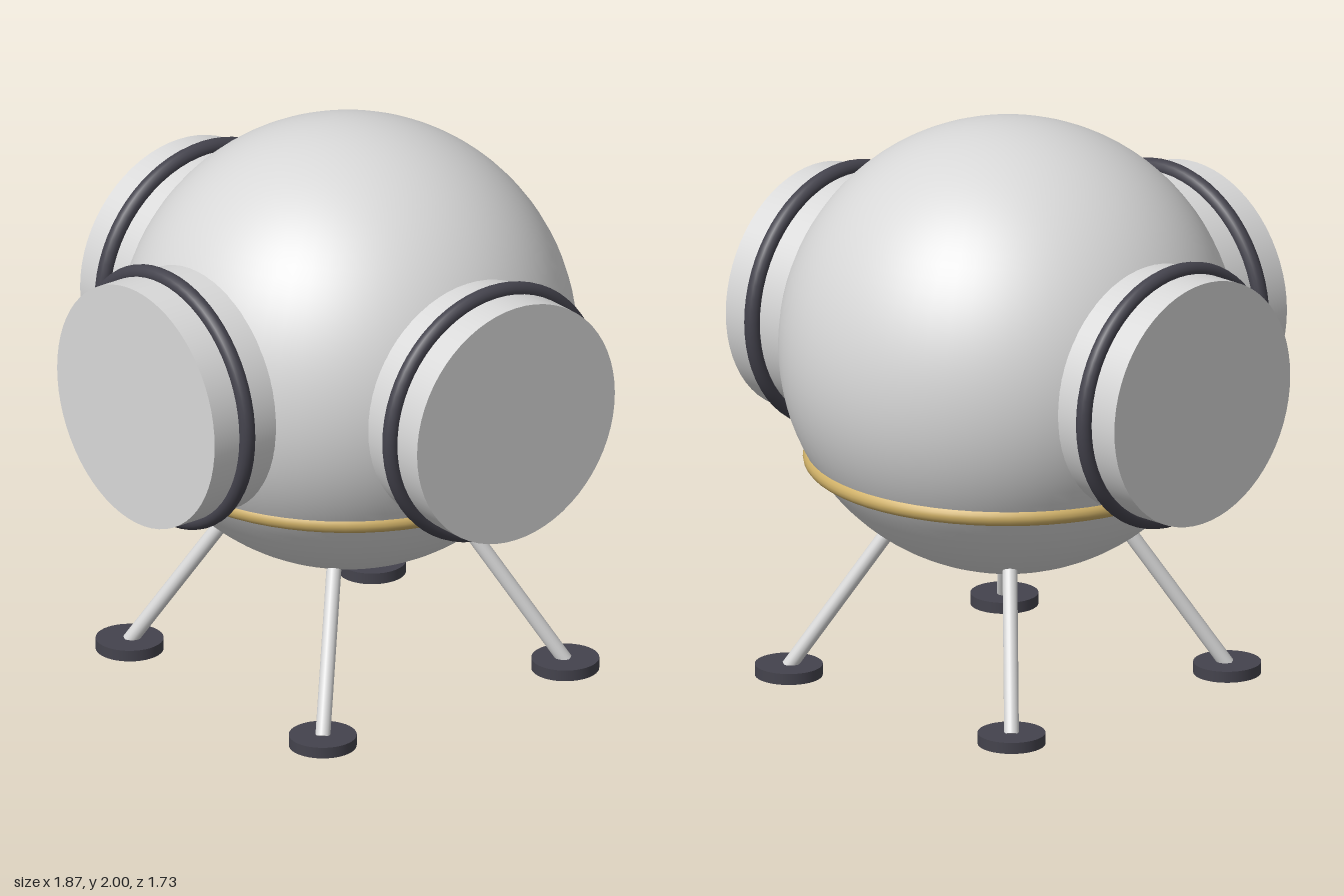
import * as THREE from 'three';

const mat = (name, color) => {
  const m = new THREE.MeshStandardMaterial({ color });
  m.name = name;
  return m;
};

export function createModel() {
  const hullGrey = mat('hull grey', 0xd8d8d8);
  const darkRubber = mat('dark rubber', 0x44434d);
  const gold = mat('gold', 0xcfb067);

  const model = new THREE.Group();
  model.name = 'sphericalPod';
  const add = (parent, name, geometry, material) => {
    const mesh = new THREE.Mesh(geometry, material);
    mesh.name = name;
    parent.add(mesh);
    return mesh;
  };

  // Everything is arranged around the vertical axis of the hull
  const pod = new THREE.Group();
  pod.name = 'pod';
  pod.position.z = -0.067;
  model.add(pod);

  const hullY = 1.203;
  add(pod, 'hull', new THREE.SphereGeometry(0.797, 64, 48), hullGrey).position.y = hullY;

  // Docking ports on the front, left and right, each with a seal ring
  const portNames = { frontPort: 0, leftPort: Math.PI / 2, rightPort: -Math.PI / 2 };
  for (const [name, turn] of Object.entries(portNames)) {
    const port = new THREE.Group();
    port.name = name;
    port.position.y = hullY;
    port.rotation.y = turn;
    pod.add(port);
    const tube = add(port, 'portTube', new THREE.CylinderGeometry(0.438, 0.438, 0.4, 64), hullGrey);
    tube.rotation.x = Math.PI / 2;
    tube.position.z = 0.737;
    add(port, 'sealRing', new THREE.TorusGeometry(0.446, 0.029, 16, 64), darkRubber).position.z = 0.8;
  }

  // Gold band around the lower hull
  const band = add(pod, 'goldBand', new THREE.TorusGeometry(0.676, 0.032, 16, 64), gold);
  band.rotation.x = Math.PI / 2;
  band.position.set(0, 0.8, -0.005);

  // Four splayed legs with round feet
  const up = new THREE.Vector3(0, 1, 0);
  for (const sx of [1, -1]) for (const sz of [1, -1]) {
    const leg = new THREE.Group();
    leg.name = (sz > 0 ? 'front' : 'back') + (sx > 0 ? 'Left' : 'Right') + 'Leg';
    pod.add(leg);
    const top = new THREE.Vector3(0.296 * sx, 0.515, 0.296 * sz);
    const bottom = new THREE.Vector3(0.537 * sx, 0.03, 0.537 * sz);
    const axis = top.clone().sub(bottom);
    const strut = add(leg, 'strut', new THREE.CylinderGeometry(0.026, 0.026, axis.length(), 20), hullGrey);
    strut.position.copy(top).add(bottom).multiplyScalar(0.5);
    strut.quaternion.setFromUnitVectors(up, axis.normalize());
    add(leg, 'foot', new THREE.CylinderGeometry(0.118, 0.118, 0.04, 40), darkRubber)
      .position.set(0.537 * sx, 0.02, 0.537 * sz);
  }
  return model;
}
